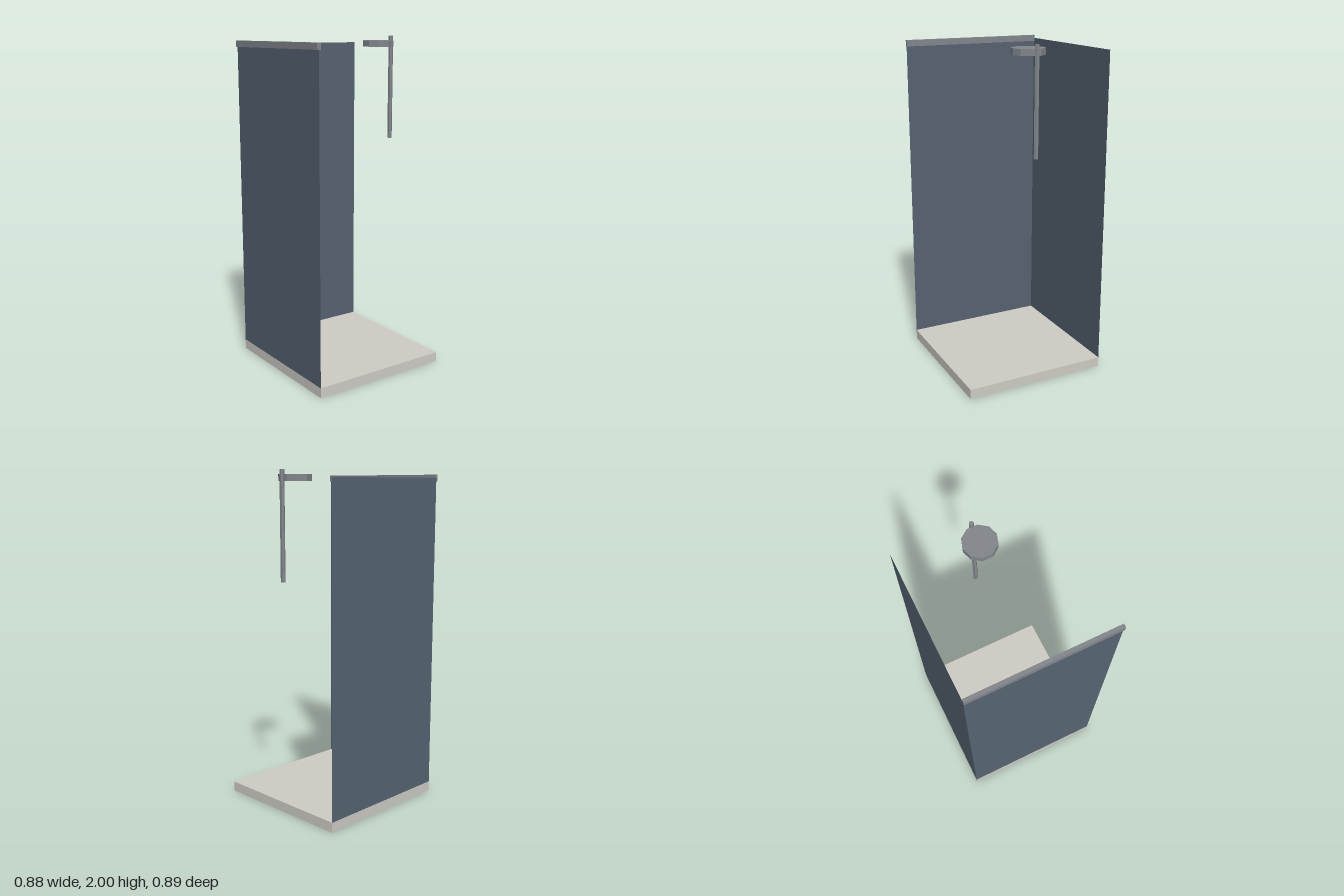
import * as THREE from 'three';

const material = (name, color, extra = {}) => {
  const m = new THREE.MeshStandardMaterial({ color, ...extra });
  m.name = name;
  return m;
};

export function createModel() {
  const group = new THREE.Group();
  group.name = 'showerCubicle';

  const stone = material('pale stone', 0xd0cdc6);
  const metal = material('grey metal', 0x83878d, { flatShading: true });
  const glass = material('dark blue glass', 0x566472, { side: THREE.DoubleSide });

  const add = (name, geometry, mat, x, y, z, turn = 0) => {
    const mesh = new THREE.Mesh(geometry, mat);
    mesh.name = name;
    mesh.position.set(x, y, z);
    mesh.rotation.y = turn;
    group.add(mesh);
  };

  const width = 0.876, half = width / 2;
  const back = -0.443, front = 0.432;
  const depth = front - back, midZ = (front + back) / 2;
  const trayTop = 0.06, glassTop = 1.955;
  const glassHeight = glassTop - trayTop, glassMid = (glassTop + trayTop) / 2;

  // Floor tray
  add('tray', new THREE.BoxGeometry(width, trayTop, depth), stone, 0, trayTop / 2, midZ);

  // Glass sheets on the front and right edges of the tray
  add('frontPanel', new THREE.PlaneGeometry(width, glassHeight), glass, 0, glassMid, front);
  add('sidePanel', new THREE.PlaneGeometry(depth, glassHeight), glass, -half, glassMid, midZ, -Math.PI / 2);

  // Rail along the top of the front sheet
  add('topRail', new THREE.BoxGeometry(width, 0.037, 0.022), metal, 0, glassTop, front);

  // Riser pole and ten-sided shower head
  add('riserPole', new THREE.CylinderGeometry(0.014, 0.014, 0.63, 6), metal, 0, 1.685, -0.397, Math.PI / 2);
  add('showerHead', new THREE.CylinderGeometry(0.097, 0.097, 0.037, 10), metal, 0, glassTop, -0.298, Math.PI / 2);

  return group;
}
